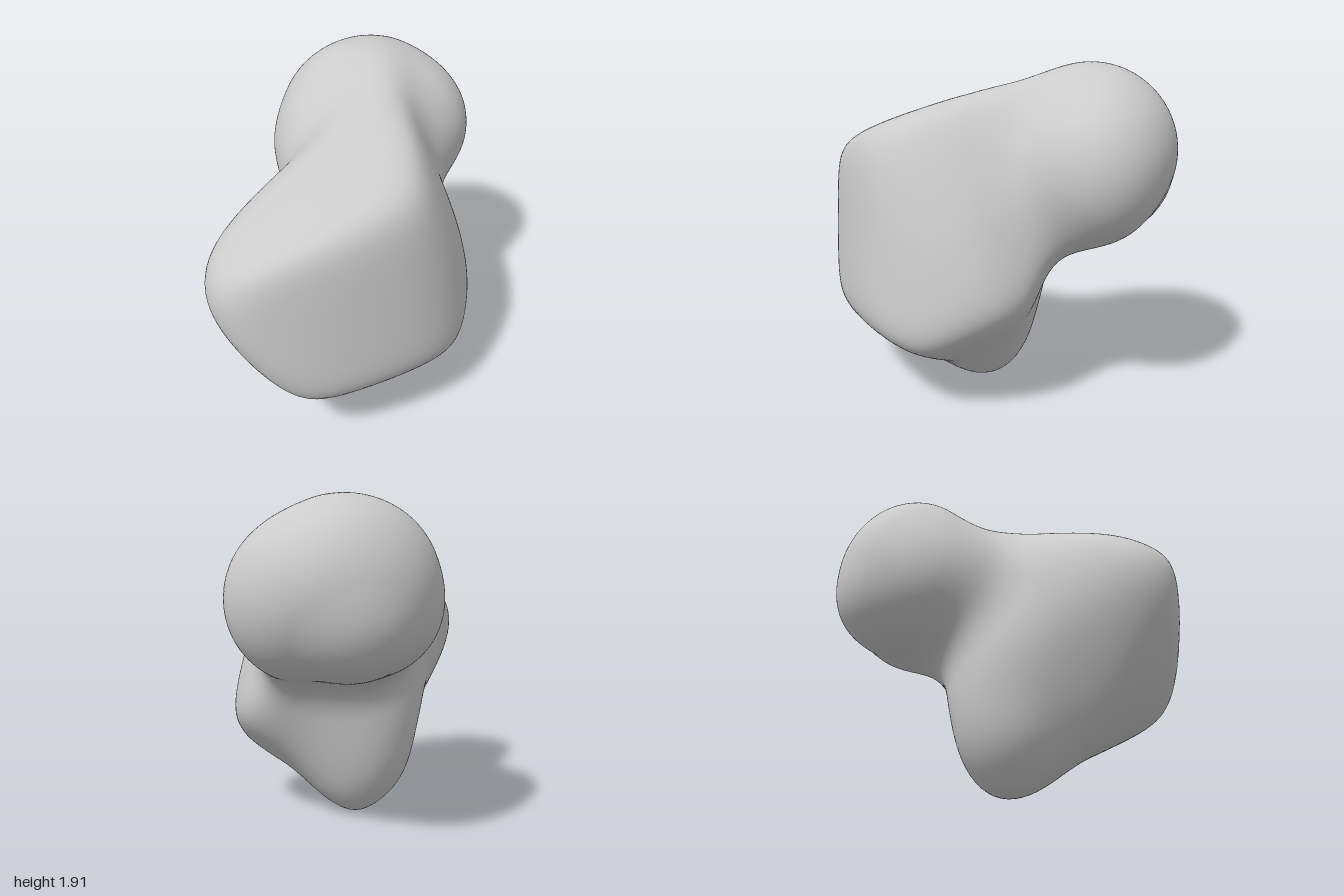
import * as THREE from 'three';
import { mergeVertices } from 'three/addons/utils/BufferGeometryUtils.js';

// Facets of the large lobe: outward normal, then a point on the facet
const FACETS = [
  // front
  [0, 0.07, 1, 0, 0.9, 0.83],
  [-0.35, 0.05, 0.94, -0.6, 0.9, 0.76],
  [0.5, 0.12, 0.85, 0.47, 0.8, 0.66],
  [0.82, 0.1, 0.57, 0.62, 0.8, 0.48],
  [0.75, 0.45, 0.48, 0.32, 1.6, 0.3],
  [0, 0.6, 0.8, 0, 1.56, 0.75],
  // blunt end
  [-1, 0, 0, -1.05, 1, 0.42],
  [-0.8, 0, 0.6, -0.95, 1, 0.61],
  [-0.88, 0, -0.47, -1, 1, 0.24],
  [-0.8, 0.6, 0, -0.94, 1.24, 0.4],
  // top
  [-0.4, 0.9, 0.1, -0.45, 1.49, 0.35],
  [-0.15, 0.95, 0.28, 0.1, 1.71, 0.25],
  [0.1, 0.97, -0.2, 0.25, 1.8, 0.05],
  [0.75, 0.65, 0, 0.42, 1.74, 0.1],
  // right flank and back
  [0.96, 0.27, 0, 0.6, 0.95, 0.2],
  [0.58, -0.35, -0.73, 0.64, 0.75, 0.08],
  [0, 0, -1, 0.15, 0.6, -0.18],
  [-0.48, 0.05, -0.88, -0.6, 1.1, 0.05],
  [-0.4, 0.6, -0.7, -0.5, 1.4, 0.1],
  // underside, tapering to the foot
  [-0.85, -0.5, 0, -0.88, 0.7, 0.4],
  [-0.62, -0.78, 0, -0.5, 0.28, 0.3],
  [-0.6, -0.47, -0.64, -0.5, 0.6, 0.12],
  [0.68, -0.73, 0, 0.35, 0.28, 0.2],
  [0, -0.87, 0.49, 0, 0.25, 0.52],
].map(([a, b, c, x, y, z]) => {
  const n = new THREE.Vector3(a, b, c).normalize();
  return { n, d: n.dot(new THREE.Vector3(x, y, z)) + 0.03 };
});

// Rounded bulges: centre, then radii
const SMALL_LOBE = [
  [0.4, 1.4, -0.4, 0.54, 0.48, 0.44],    // crown
  [0.6, 1.33, -0.26, 0.4, 0.43, 0.37],   // outer cheek
  [0.38, 1.32, -0.43, 0.42, 0.4, 0.4],   // back
  [0.43, 1.23, -0.5, 0.34, 0.31, 0.33],  // lower back
  [0.2, 1.28, -0.3, 0.43, 0.4, 0.42],    // neck
];
const FOOT = [
  [-0.04, 0.43, 0.07, 0.31, 0.41, 0.29],
  [-0.03, 0.68, 0.08, 0.34, 0.42, 0.3],
];

// Rounded polytope: soft maximum over all facets
function largeLobe(p) {
  const k = 17;
  let sum = 0;
  for (const { n, d } of FACETS) sum += Math.exp(k * (n.dot(p) - d));
  return Math.log(sum) / k;
}

function ellipsoid(p, [cx, cy, cz, rx, ry, rz]) {
  const q = Math.hypot((p.x - cx) / rx, (p.y - cy) / ry, (p.z - cz) / rz);
  return (q - 1) * Math.min(rx, ry, rz);
}

function smoothMin(a, b, k) {
  const h = Math.max(k - Math.abs(a - b), 0) / k;
  return Math.min(a, b) - h * h * k * 0.25;
}

const cluster = (p, bulges) =>
  bulges.map((b) => ellipsoid(p, b)).reduce((a, b) => smoothMin(a, b, 0.08));

// Large lobe, foot and small lobe blended together
function body(p) {
  const lower = smoothMin(largeLobe(p), cluster(p, FOOT), 0.2);
  return smoothMin(lower, cluster(p, SMALL_LOBE), 0.27);
}

export function createModel() {
  const group = new THREE.Group();
  group.name = 'twoLobedRock';

  let geometry = new THREE.IcosahedronGeometry(1, 36);
  geometry.deleteAttribute('uv');
  geometry.deleteAttribute('normal');
  geometry = mergeVertices(geometry, 1e-5);

  // Push each sphere vertex out to the blended surface
  const core = new THREE.Vector3(0.12, 1.15, 0);
  const pos = geometry.attributes.position;
  const dir = new THREE.Vector3();
  const p = new THREE.Vector3();
  for (let i = 0; i < pos.count; i++) {
    dir.fromBufferAttribute(pos, i).normalize();
    let near = 0, far = 2;
    for (let s = 0; s < 22; s++) {
      const r = (near + far) / 2;
      p.copy(core).addScaledVector(dir, r);
      if (body(p) < 0) near = r; else far = r;
    }
    p.copy(core).addScaledVector(dir, near);
    pos.setXYZ(i, p.x, p.y, p.z);
  }
  geometry.computeVertexNormals();

  const rock = new THREE.Mesh(geometry, new THREE.MeshStandardMaterial({ color: 0xcccccc }));
  rock.name = 'rockBody';
  group.add(rock);
  return group;
}
